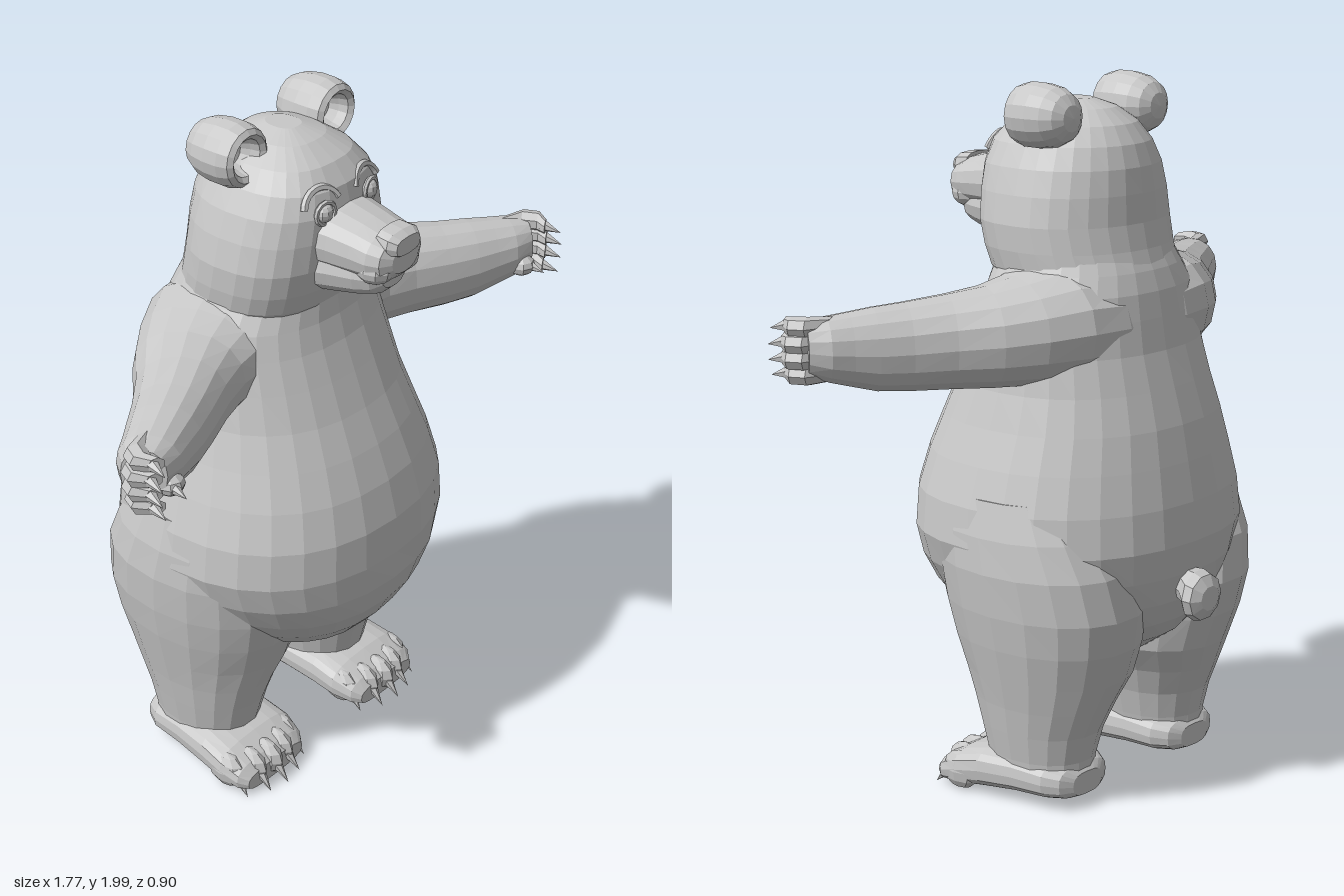
import * as THREE from 'three';

const fur = new THREE.MeshStandardMaterial({ color: 0xc8c8c8, flatShading: true });
fur.name = 'grey fur';

// Closed skin through rings; each ring is [centre, half-axis u, half-axis v].
// The powers make the +v and -v halves of each ring boxier (below 1) or round (1).
function loft(rings, sides = 20, power = 1, powerBack = power) {
  const pos = [], idx = [];
  const bend = (t, e) => Math.sign(t) * Math.abs(t) ** e;
  for (const [c, u, v] of rings) {
    for (let i = 0; i < sides; i++) {
      const a = (i / sides) * Math.PI * 2, e = Math.sin(a) > 0 ? power : powerBack;
      const p = bend(Math.cos(a), e), q = bend(Math.sin(a), e);
      for (let k = 0; k < 3; k++) pos.push(c[k] + u[k] * p + v[k] * q);
    }
  }
  const last = rings.length - 1, a0 = rings.length * sides;
  pos.push(...rings[0][0], ...rings[last][0]);
  for (let i = 0; i < sides; i++) {
    const j = (i + 1) % sides;
    for (let r = 0; r < last; r++) {
      const a = r * sides + i, b = r * sides + j, c = a + sides, d = b + sides;
      idx.push(a, b, d, a, d, c);
    }
    idx.push(a0, j, i, a0 + 1, last * sides + i, last * sides + j);
  }
  // Turn the faces outward according to the enclosed volume
  const P = n => new THREE.Vector3().fromArray(pos, n * 3);
  let volume = 0;
  for (let i = 0; i < idx.length; i += 3) volume += P(idx[i]).dot(P(idx[i + 1]).cross(P(idx[i + 2])));
  if (volume < 0) idx.reverse();
  const g = new THREE.BufferGeometry();
  g.setAttribute('position', new THREE.Float32BufferAttribute(pos, 3));
  g.setIndex(idx);
  g.computeVertexNormals();
  return g;
}

// Rings stacked in y: [y, xMin, xMax, zBack, zFront]
const stackY = rows => rows.map(([y, l, r, b, f]) =>
  [[(l + r) / 2, y, (b + f) / 2], [(r - l) / 2, 0, 0], [0, 0, (f - b) / 2]]);
// The same, centred on x = 0: [y, halfWidth, zBack, zFront]
const stackMid = rows => stackY(rows.map(([y, w, b, f]) => [y, -w, w, b, f]));
// Rings stacked in z: [z, x, halfWidth, yBottom, yTop]
const stackZ = rows => rows.map(([z, x, w, b, t]) =>
  [[x, (b + t) / 2, z], [w, 0, 0], [0, (t - b) / 2, 0]]);

function ball(p, rx, ry, rz, w = 10, h = 8) {
  return new THREE.SphereGeometry(1, w, h).scale(rx, ry, rz).translate(...p);
}

// Pointed claw starting at p along dir
function claw(p, dir, r, len) {
  const d = new THREE.Vector3(...dir).normalize();
  const q = new THREE.Quaternion().setFromUnitVectors(new THREE.Vector3(0, 1, 0), d);
  return new THREE.ConeGeometry(r, len, 6).translate(0, len / 2, 0).applyQuaternion(q).translate(...p);
}

function mirrored(geo) {
  const g = geo.clone().scale(-1, 1, 1), ix = g.index.array;
  for (let i = 0; i < ix.length; i += 3) [ix[i], ix[i + 1]] = [ix[i + 1], ix[i]];
  g.computeVertexNormals();
  return g;
}

export function createModel() {
  const bear = new THREE.Group();
  bear.name = 'bear';
  const add = (name, geo) => {
    const m = new THREE.Mesh(geo, fur);
    m.name = name;
    bear.add(m);
  };
  const pair = (name, geo) => {
    add(name + 'Left', geo);
    add(name + 'Right', mirrored(geo));
  };

  // Belly, chest and neck
  add('body', loft(stackMid([
    [0.37, 0.06, -0.1, 0.16], [0.405, 0.17, -0.2, 0.25], [0.46, 0.26, -0.28, 0.325],
    [0.52, 0.325, -0.33, 0.378], [0.59, 0.385, -0.365, 0.418], [0.67, 0.435, -0.387, 0.44],
    [0.76, 0.466, -0.4, 0.446], [0.87, 0.455, -0.39, 0.44], [0.98, 0.422, -0.37, 0.41],
    [1.08, 0.388, -0.35, 0.37], [1.18, 0.358, -0.32, 0.325], [1.28, 0.34, -0.29, 0.285],
    [1.37, 0.325, -0.275, 0.25], [1.44, 0.305, -0.262, 0.23], [1.495, 0.268, -0.243, 0.222],
    [1.53, 0.25, -0.225, 0.2],
  ]), 28, 0.88));

  // Skull, broad across the face and round behind
  add('head', loft(stackMid([
    [1.45, 0.24, -0.24, 0.2], [1.495, 0.262, -0.24, 0.222], [1.55, 0.27, -0.222, 0.24],
    [1.62, 0.273, -0.207, 0.255], [1.7, 0.258, -0.203, 0.26], [1.77, 0.236, -0.195, 0.26],
    [1.83, 0.204, -0.175, 0.245], [1.88, 0.16, -0.14, 0.205], [1.92, 0.1, -0.085, 0.14],
    [1.942, 0.04, -0.02, 0.08],
  ]), 28, 0.76, 0.95));

  // Legs and haunches, sinking into the body at the hip
  pair('leg', loft(stackY([
    [0.05, 0.135, 0.36, -0.205, 0.1], [0.14, 0.115, 0.372, -0.21, 0.115],
    [0.22, 0.095, 0.387, -0.23, 0.135], [0.3, 0.065, 0.402, -0.265, 0.16],
    [0.38, 0.015, 0.42, -0.3, 0.19], [0.48, 0.005, 0.442, -0.335, 0.225],
    [0.58, 0.005, 0.46, -0.355, 0.25], [0.7, 0.04, 0.473, -0.335, 0.258],
    [0.8, 0.09, 0.468, -0.285, 0.25], [0.9, 0.15, 0.447, -0.22, 0.2],
  ]), 18, 0.92));

  // Feet, toes and claws
  pair('foot', loft(stackZ([
    [-0.214, 0.24, 0.06, 0.045, 0.11], [-0.195, 0.24, 0.1, 0.038, 0.13], [-0.15, 0.24, 0.128, 0.034, 0.142],
    [-0.05, 0.245, 0.137, 0.03, 0.152], [0.06, 0.252, 0.148, 0.02, 0.152],
    [0.14, 0.256, 0.154, 0.012, 0.132], [0.2, 0.26, 0.142, 0.01, 0.1], [0.225, 0.26, 0.12, 0.015, 0.075],
  ]), 20, 0.68));
  for (let i = 0; i < 5; i++) {
    const t = (i - 2) / 2, x = 0.26 + t * 0.117, z = 0.205 - t * t * 0.045;
    pair('toe' + i, ball([x, 0.065, z - 0.02], 0.034, 0.055, 0.065, 8, 6));
    pair('toeClaw' + i, claw([x, 0.065, z + 0.015], [t * 0.15, -0.85, 0.8], 0.02, 0.078));
  }

  // Shoulders and arms reaching out and forward: [x, y, z, halfDepth, halfHeight, turn]
  pair('arm', loft([
    [0, 1.355, -0.05, 0.2, 0.13, 0], [0.12, 1.355, -0.045, 0.222, 0.148, 0],
    [0.22, 1.355, -0.035, 0.213, 0.16, 0.1], [0.3, 1.345, -0.01, 0.183, 0.148, 0.3],
    [0.38, 1.336, 0.025, 0.155, 0.137, 0.47], [0.47, 1.33, 0.08, 0.128, 0.128, 0.57],
    [0.57, 1.325, 0.138, 0.112, 0.12, 0.57], [0.65, 1.325, 0.18, 0.102, 0.113, 0.57],
    [0.71, 1.33, 0.21, 0.092, 0.1, 0.57], [0.765, 1.335, 0.237, 0.085, 0.088, 0.57],
    [0.815, 1.34, 0.265, 0.06, 0.072, 0.57],
  ].map(([x, y, z, w, h, a]) =>
    [[x, y, z], [-Math.sin(a) * w, 0, Math.cos(a) * w], [0, h, 0]]), 16, 0.92));

  // Curled fingers with claws, and a thumb
  for (let i = 0; i < 4; i++) {
    const y = 1.275 + i * 0.042, out = Math.sin((i + 0.6) / 4.2 * Math.PI) * 0.02;
    pair('finger' + i, loft([
      [0.76, 0.22, 0.024], [0.815 + out, 0.245, 0.029],
      [0.836 + out, 0.285, 0.028], [0.82 + out, 0.322, 0.021],
    ].map(([x, z, r]) => [[x, y, z], [r, 0, -r * 0.5], [0, r, 0]]), 7));
    pair('fingerClaw' + i, claw([0.824 + out, y, 0.308], [0.2, -0.2, 0.9], 0.019, 0.06));
  }
  pair('thumb', ball([0.755, 1.3, 0.295], 0.04, 0.032, 0.042, 8, 6));
  pair('thumbClaw', claw([0.765, 1.3, 0.318], [0.1, -0.2, 0.9], 0.017, 0.05));

  // Muzzle, closed lower jaw, lips and nose
  add('muzzle', loft(stackZ([
    [0.18, 0, 0.14, 1.6, 1.79], [0.27, 0, 0.12, 1.6, 1.78], [0.34, 0, 0.11, 1.605, 1.765],
    [0.39, 0, 0.105, 1.61, 1.752], [0.425, 0, 0.09, 1.62, 1.738], [0.443, 0, 0.055, 1.64, 1.715],
  ]), 16, 0.9));
  add('lowerJaw', loft(stackZ([
    [0.18, 0, 0.14, 1.525, 1.7], [0.27, 0, 0.115, 1.537, 1.7], [0.34, 0, 0.097, 1.55, 1.69],
    [0.385, 0, 0.08, 1.563, 1.68], [0.408, 0, 0.05, 1.585, 1.66],
  ]), 14, 0.9));
  pair('lip', ball([0.048, 1.652, 0.385], 0.055, 0.045, 0.055));
  add('nose', loft(stackZ([
    [0.39, 0, 0.062, 1.685, 1.762], [0.43, 0, 0.066, 1.69, 1.758], [0.452, 0, 0.05, 1.695, 1.745],
  ]), 12, 0.7));

  // Eyes with lids and brows
  const ring = (r, t, arc) => new THREE.TorusGeometry(r, t, 6, 12, arc);
  pair('eye', ball([0.092, 1.78, 0.244], 0.028, 0.028, 0.026));
  pair('eyelid', ring(0.031, 0.007, Math.PI * 2).rotateY(0.2).translate(0.092, 1.78, 0.251));
  pair('brow', ring(0.06, 0.011, Math.PI * 0.8).rotateZ(0.25).rotateX(-0.35).rotateY(0.2)
    .translate(0.092, 1.785, 0.242));

  // Cupped ears with domed backs
  const earProfile = [[0, -0.117], [0.036, -0.111], [0.064, -0.092], [0.081, -0.06], [0.089, -0.015],
    [0.089, 0.03], [0.08, 0.062], [0.066, 0.073], [0.052, 0.062], [0.046, 0.035], [0.035, 0.01], [0, 0]]
    .map(([r, a]) => new THREE.Vector2(r, a));
  pair('ear', new THREE.LatheGeometry(earProfile, 16).rotateX(Math.PI / 2).translate(0.182, 1.911, 0));

  // Stubby tail
  add('tail', loft(stackZ([
    [-0.33, 0, 0.04, 0.6, 0.68], [-0.385, 0, 0.055, 0.57, 0.68], [-0.41, 0, 0.075, 0.535, 0.68],
    [-0.435, 0, 0.07, 0.54, 0.67], [-0.452, 0, 0.04, 0.57, 0.64],
  ]), 10));

  return bear;
}
